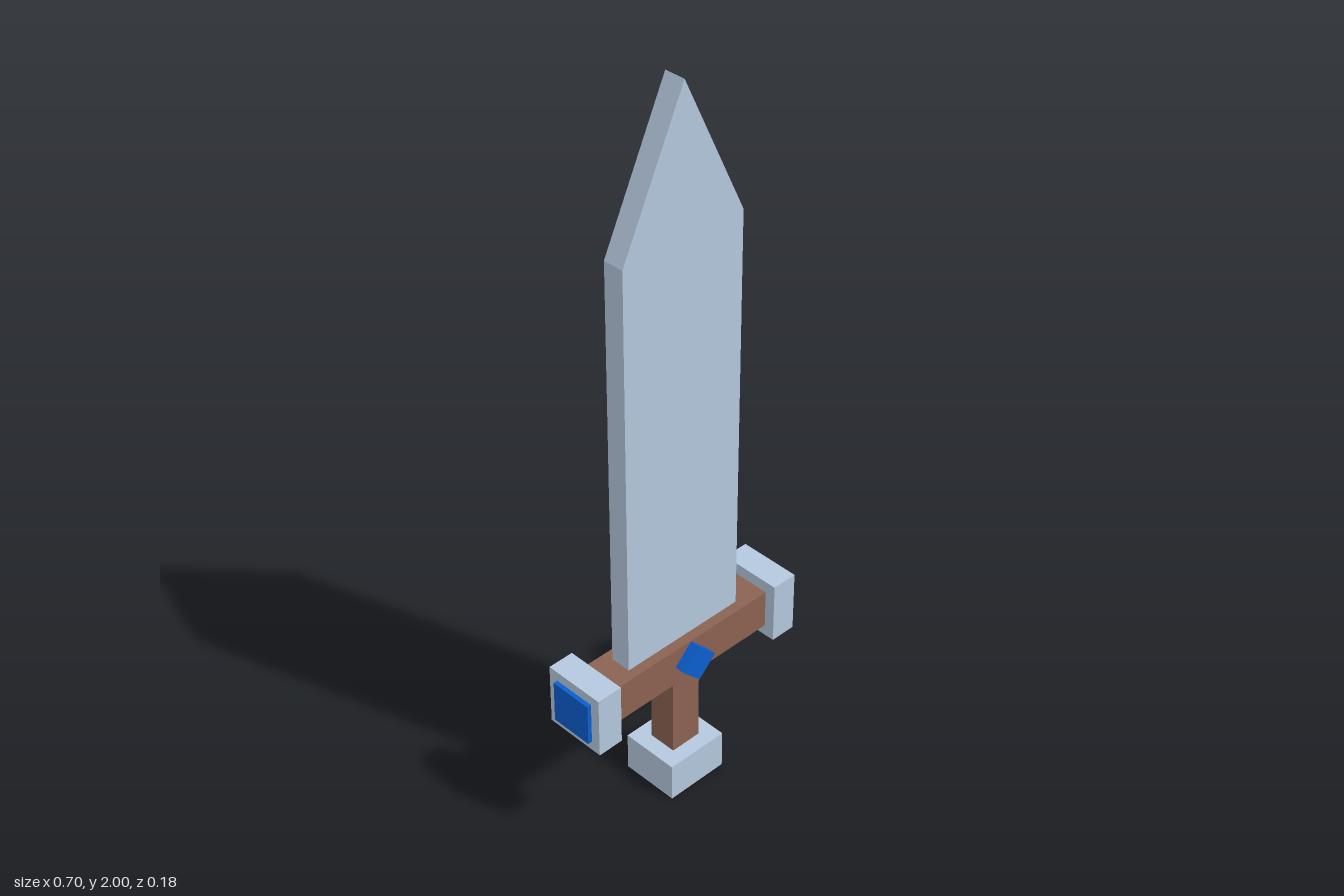
import * as THREE from 'three';

export function createModel() {
  const group = new THREE.Group();
  const mat = (color) => new THREE.MeshStandardMaterial({ color, flatShading: true });
  const steel = mat(0xb5c8de), wood = mat(0x8b6252), gem = mat(0x0b5ecf);

  const add = (name, geometry, material, x, y, z = 0) => {
    const mesh = new THREE.Mesh(geometry, material);
    mesh.name = name;
    mesh.position.set(x, y, z);
    group.add(mesh);
    return mesh;
  };
  const box = (name, material, w, h, d, x, y) =>
    add(name, new THREE.BoxGeometry(w, h, d), material, x, y);

  // Flat blade with a pointed tip
  const outline = new THREE.Shape([
    [-0.185, 0.465], [0.185, 0.465], [0.185, 1.61], [0, 2], [-0.185, 1.61],
  ].map(([x, y]) => new THREE.Vector2(x, y)));
  const blade = new THREE.ExtrudeGeometry(outline, { depth: 0.058, bevelEnabled: false });
  add('blade', blade, steel, 0, 0, -0.029);

  // Handle
  box('pommel', steel, 0.18, 0.11, 0.164, 0, 0.055);
  box('grip', wood, 0.09, 0.245, 0.08, 0, 0.2325);
  box('crossguard', wood, 0.53, 0.11, 0.114, 0, 0.41);

  // Guard caps with a square gem on each end
  for (const [side, s] of [['left', 1], ['right', -1]]) {
    box(side + 'GuardCap', steel, 0.073, 0.174, 0.174, s * 0.3015, 0.411);
    box(side + 'EndGem', gem, 0.012, 0.12, 0.12, s * 0.344, 0.411);
  }

  // Diamond gem passing through the guard
  const size = 0.053 * Math.SQRT2;
  box('centreGem', gem, size, size, 0.176, 0, 0.41).rotation.z = Math.PI / 4;

  return group;
}
